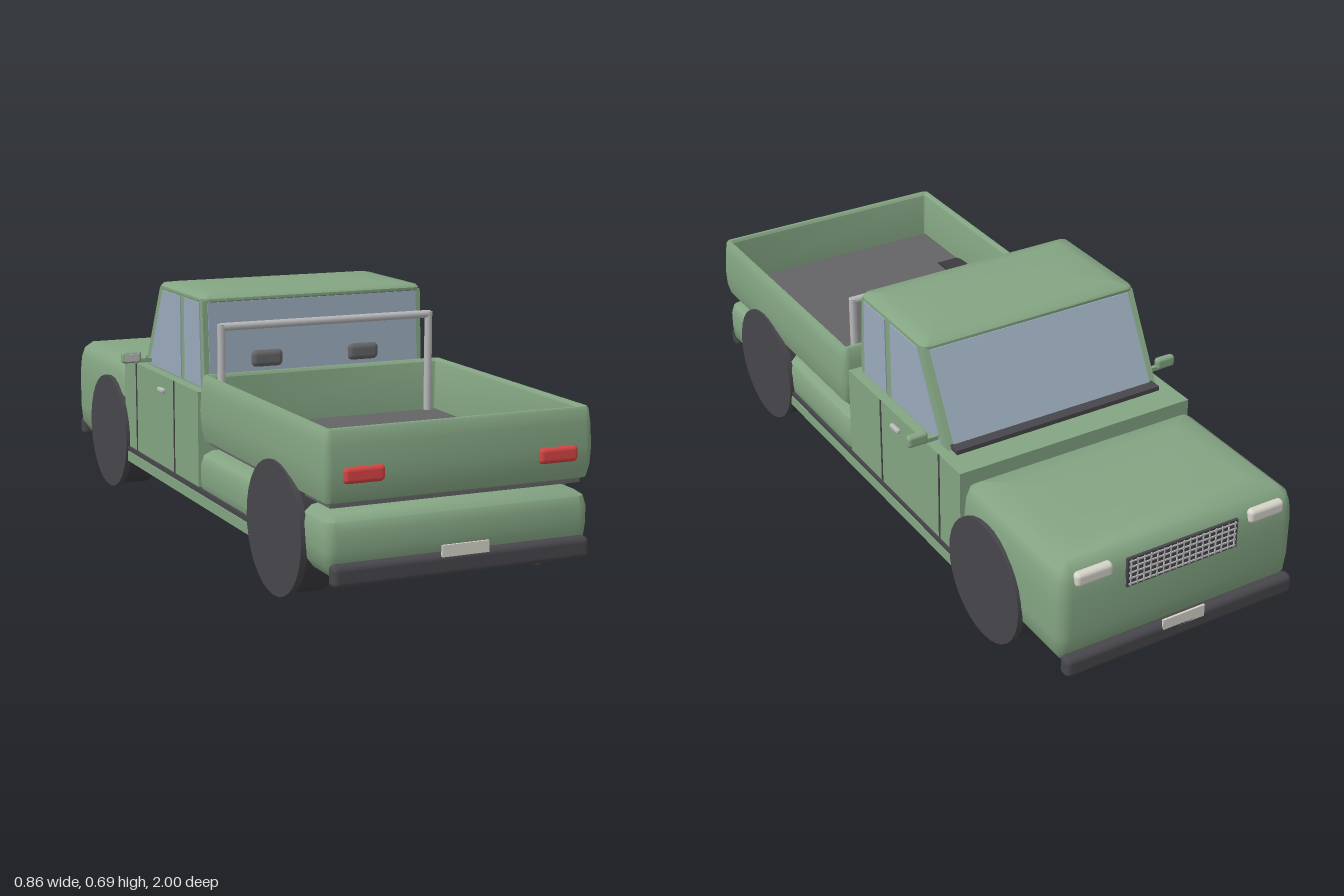
import * as THREE from 'three';
import { toCreasedNormals } from 'three/addons/utils/BufferGeometryUtils.js';
import { RoundedBoxGeometry } from 'three/addons/geometries/RoundedBoxGeometry.js';

const paint = (name, color) => {
  const m = new THREE.MeshStandardMaterial({ color });
  m.name = name;
  return m;
};

// Rounded rectangle outline in x/z, inset by d
function outline(hx, hz, r, d) {
  const pts = [], n = 5, c = Math.max(r - d, 0.004);
  for (let k = 0; k < 4; k++) {
    const sx = k === 0 || k === 3 ? 1 : -1, sz = k < 2 ? 1 : -1;
    for (let i = 0; i <= n; i++) {
      const a = (k + i / n) * Math.PI / 2;
      pts.push([sx * (hx - d - c) + c * Math.cos(a), sz * (hz - d - c) + c * Math.sin(a)]);
    }
  }
  return pts;
}

// Stack of outlines; levels are [inset, y]. A closed stack wraps round to make a hollow tub.
function stack(hx, z0, z1, r, levels, closed = false) {
  const pos = [], idx = [], hz = (z1 - z0) / 2, zc = (z0 + z1) / 2;
  let n = 0;
  for (const [d, y] of levels) {
    const ring = outline(hx, hz, r, d);
    n = ring.length;
    for (const [x, z] of ring) pos.push(x, y, z + zc);
  }
  const L = levels.length;
  for (let i = 0; i < (closed ? L : L - 1); i++) {
    for (let j = 0; j < n; j++) {
      const k = (j + 1) % n, i2 = (i + 1) % L;
      const a = i * n + j, b = i * n + k, c = i2 * n + j, d = i2 * n + k;
      idx.push(a, c, b, b, c, d);
    }
  }
  if (!closed) {
    const lo = pos.length / 3, top = (L - 1) * n;
    pos.push(0, levels[0][1], zc, 0, levels[L - 1][1], zc);
    for (let j = 0; j < n; j++) {
      const k = (j + 1) % n;
      idx.push(lo, j, k, lo + 1, top + k, top + j);
    }
  }
  const g = new THREE.BufferGeometry();
  g.setAttribute('position', new THREE.Float32BufferAttribute(pos, 3));
  g.setIndex(idx);
  return toCreasedNormals(g, 0.7);
}

// Side profile of [z, y] points, extruded across x from x0 to x1
function profile(points, x0, x1) {
  const s = new THREE.Shape(points.map(([z, y]) => new THREE.Vector2(-z, y)));
  const g = new THREE.ExtrudeGeometry(s, { depth: x1 - x0, bevelEnabled: false });
  return g.rotateY(Math.PI / 2).translate(x0, 0, 0);
}

export function createModel() {
  const green = paint('greenPaint', 0x84a583);
  const glass = paint('glass', 0x9aaabb);
  const dark = paint('darkRubber', 0x47464b);
  const grey = paint('bedGrey', 0x646366);
  const metal = paint('lightMetal', 0xb9b9bb);
  const red = paint('redLamp', 0xd84444);
  const white = paint('offWhite', 0xd6d4ca);

  const model = new THREE.Group();
  const add = (name, geo, mat, x = 0, y = 0, z = 0) => {
    const m = new THREE.Mesh(geo, mat);
    m.name = name;
    m.position.set(x, y, z);
    model.add(m);
    return m;
  };
  const box = (name, mat, w, h, d, x, y, z) => add(name, new THREE.BoxGeometry(w, h, d), mat, x, y, z);
  const soft = (name, mat, w, h, d, r, x, y, z) =>
    add(name, new RoundedBoxGeometry(w, h, d, 3, r), mat, x, y, z);

  // Main body volumes
  box('cabBody', green, 0.73, 0.305, 0.625, 0, 0.2725, -0.1825);
  add('hood', stack(0.367, -0.975, -0.49, 0.04, [[0.03, 0.115], [0.005, 0.15], [0, 0.2], [0, 0.31],
    [0.005, 0.36], [0.015, 0.39], [0.04, 0.409], [0.1, 0.418], [0.2, 0.421]]), green);
  add('rearLowerBody', stack(0.365, 0.125, 0.978, 0.03, [[0.03, 0.11], [0.005, 0.14], [0, 0.18], [0, 0.225],
    [0.008, 0.25], [0.03, 0.264], [0.1, 0.273], [0.25, 0.279]]), green);

  // Cargo bed
  add('bedWalls', stack(0.373, 0.148, 0.98, 0.025, [[0.03, 0.29], [0.012, 0.298], [0.003, 0.33], [0, 0.38],
    [0.004, 0.44], [0.009, 0.472], [0.013, 0.478], [0.022, 0.478], [0.028, 0.47], [0.03, 0.34]], true), green);
  box('bedFloor', grey, 0.69, 0.05, 0.79, 0, 0.308, 0.562);

  // Cab upper with roof and windows
  add('cabUpper', profile([[0.107, 0.42], [0.093, 0.67], [-0.25, 0.67], [-0.385, 0.42]], -0.335, 0.335), green);
  add('roof', stack(0.337, -0.258, 0.098, 0.025, [[0.008, 0.662], [0, 0.668], [0, 0.675], [0.008, 0.683],
    [0.045, 0.689], [0.14, 0.692]]), green);
  add('windshield', profile([[-0.253, 0.665], [-0.257, 0.665], [-0.381, 0.436], [-0.373, 0.436]], -0.315, 0.315), glass);
  add('rearWindow', profile([[0.1085, 0.44], [0.096, 0.665], [0.09, 0.665], [0.102, 0.44]], -0.32, 0.32), glass);
  box('cowl', dark, 0.65, 0.016, 0.045, 0, 0.43, -0.39);

  // Front bumper, grille and plates
  for (const s of [-1, 1]) {
    soft('bumper', dark, 0.71, 0.058, 0.04, 0.016, 0, 0.122, s * 0.98);
  }
  box('rearPlate', white, 0.13, 0.03, 0.006, 0, 0.158, 0.999 - 0.002);
  box('frontPlate', white, 0.13, 0.035, 0.006, 0, 0.148, -0.997);
  box('grille', dark, 0.34, 0.085, 0.008, 0, 0.34, -0.976);
  for (let i = 0; i < 5; i++) box('grilleBar', metal, 0.33, 0.004, 0.004, 0, 0.306 + i * 0.017, -0.981);
  for (let i = 0; i < 17; i++) box('grilleSlat', metal, 0.003, 0.078, 0.004, (i - 8) * 0.02, 0.34, -0.981);

  // Roll bar
  const post = new THREE.CylinderGeometry(0.011, 0.011, 0.29, 12);
  const bar = new THREE.CylinderGeometry(0.011, 0.011, 0.64, 12).rotateZ(Math.PI / 2);
  add('rollBarTop', bar, metal, 0, 0.61, 0.185);

  // Wheel parts: hollow tyre, outer cover and inner hub
  const tyre = new THREE.LatheGeometry([[0.12, -0.045], [0.12, 0.045], [0.168, 0.045], [0.168, -0.045], [0.12, -0.045]]
    .map(([r, y]) => new THREE.Vector2(r, -y)), 32).rotateZ(Math.PI / 2);
  const tyreGeo = toCreasedNormals(tyre, 0.5);
  const tyreMat = dark.clone();
  tyreMat.name = 'tyreRubber';
  tyreMat.color.set(0x3c3c40);
  tyreMat.side = THREE.DoubleSide;
  const cover = new THREE.CylinderGeometry(0.174, 0.174, 0.018, 32).rotateZ(Math.PI / 2);
  const hub = new THREE.CylinderGeometry(0.12, 0.12, 0.02, 24).rotateZ(Math.PI / 2);

  // Mirrored parts
  for (const s of [-1, 1]) {
    for (const z of [0.685, -0.63]) {
      add('tyre', tyreGeo, tyreMat, s * 0.316, 0.175, z);
      add('wheelCover', cover, dark, s * 0.368, 0.175, z);
      add('wheelHub', hub, metal, s * 0.335, 0.175, z);
    }
    add('rollBarPost', post, metal, s * 0.316, 0.472, 0.185);
    soft('tailLight', red, 0.11, 0.042, 0.03, 0.012, s * 0.267, 0.365, 0.974);
    soft('headlight', white, 0.11, 0.04, 0.03, 0.012, s * 0.265, 0.368, -0.966);
    soft('headrest', grey, 0.095, 0.048, 0.04, 0.015, s * 0.148, 0.502, 0.096);

    // Side windows
    const x0 = s * 0.335 - 0.003, x1 = x0 + 0.006;
    add('rearSideWindow', profile([[0.084, 0.43], [0.074, 0.663], [-0.045, 0.663], [-0.045, 0.43]], x0, x1), glass);
    add('frontSideWindow', profile([[-0.075, 0.43], [-0.075, 0.663], [-0.222, 0.663], [-0.345, 0.43]], x0, x1), glass);

    // Door seams, handle, sill and running board
    for (const z of [-0.06, -0.385]) box('doorSeam', dark, 0.004, 0.27, 0.006, s * 0.365, 0.29, z);
    soft('doorHandle', metal, 0.014, 0.014, 0.045, 0.005, s * 0.37, 0.383, -0.152);
    box('sillStrip', dark, 0.012, 0.014, 0.98, s * 0.364, 0.151, 0.03);
    box('runningBoard', green, 0.04, 0.03, 0.98, s * 0.352, 0.128, 0.03);

    // Door mirror
    soft('mirrorHousing', green, 0.06, 0.034, 0.022, 0.009, s * 0.4, 0.454, -0.33);
    box('mirrorArm', green, 0.05, 0.012, 0.012, s * 0.36, 0.443, -0.33);
    box('mirrorGlass', metal, 0.042, 0.022, 0.004, s * 0.4, 0.454, -0.318);
  }
  return model;
}
